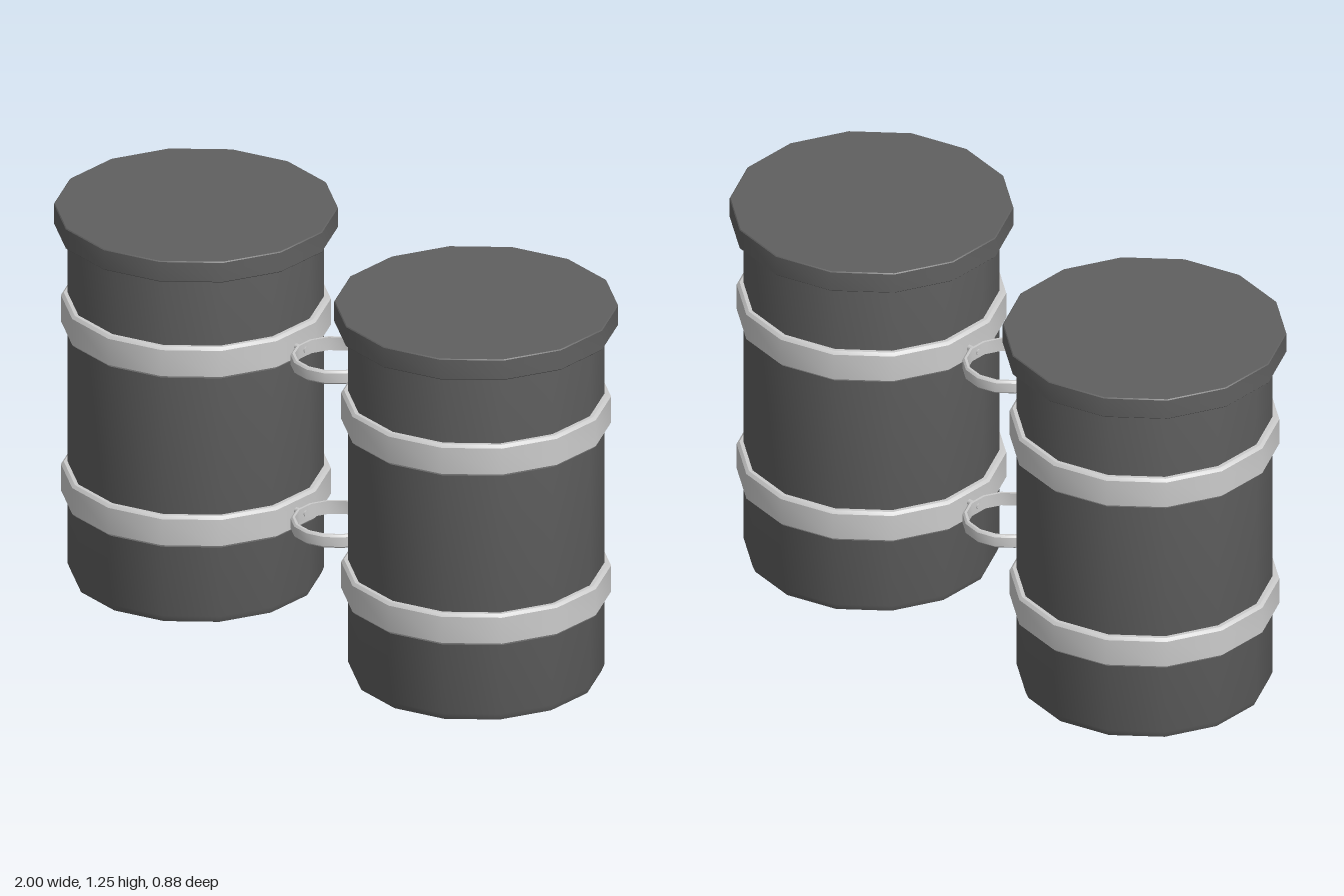
import * as THREE from 'three';
import { toCreasedNormals } from 'three/addons/utils/BufferGeometryUtils.js';

const SIDES = 14;
const TANK_X = 0.57;
const LEVELS = [0.322, 0.895]; // band heights
const RING_LEVELS = [0.335, 0.89];

const dark = new THREE.MeshStandardMaterial({ color: 0x606060 });
const grey = new THREE.MeshStandardMaterial({ color: 0xcccccc });

// Turned part: profile runs upward on the outside
function turned(name, profile, material) {
  const points = profile.map(([r, y]) => new THREE.Vector2(r, y));
  const geometry = toCreasedNormals(new THREE.LatheGeometry(points, SIDES), 0.6);
  const mesh = new THREE.Mesh(geometry, material);
  mesh.name = name;
  return mesh;
}

// Closed hoop with chamfered outer edges
function hoop(name, inner, outer, height, bevel) {
  const h = height / 2;
  return turned(name, [
    [inner, -h], [outer - bevel, -h], [outer, -h + bevel],
    [outer, h - bevel], [outer - bevel, h], [inner, h], [inner, -h],
  ], grey);
}

function createTank() {
  const tank = new THREE.Group();
  tank.add(turned('barrel', [
    [0, 0], [0.37, 0], [0.388, 0.008], [0.397, 0.03], [0.397, 1.19],
  ], dark));
  tank.add(turned('lid', [
    [0, 1.18], [0.437, 1.18], [0.44, 1.183], [0.44, 1.247], [0.437, 1.25], [0, 1.25],
  ], dark));
  for (const y of LEVELS) {
    const band = hoop('band', 0.39, 0.418, 0.106, 0.009);
    band.position.y = y;
    tank.add(band);
  }
  return tank;
}

export function createModel() {
  const model = new THREE.Group();
  model.name = 'twinBarrels';

  for (const side of [-1, 1]) {
    const tank = createTank();
    tank.name = side > 0 ? 'leftTank' : 'rightTank';
    tank.position.x = side * TANK_X;
    model.add(tank);
  }

  // Linking rings, each held by a short pin on both sides
  for (const y of RING_LEVELS) {
    const link = new THREE.Group();
    link.name = 'link';
    link.position.y = y;
    link.add(hoop('ring', 0.127, 0.141, 0.044, 0.006));
    for (const side of [-1, 1]) {
      const pin = new THREE.Mesh(new THREE.CylinderGeometry(0.01, 0.01, 0.06, 8), grey);
      pin.name = 'pin';
      pin.rotation.z = Math.PI / 2;
      pin.position.x = side * 0.15;
      link.add(pin);
    }
    model.add(link);
  }
  return model;
}
